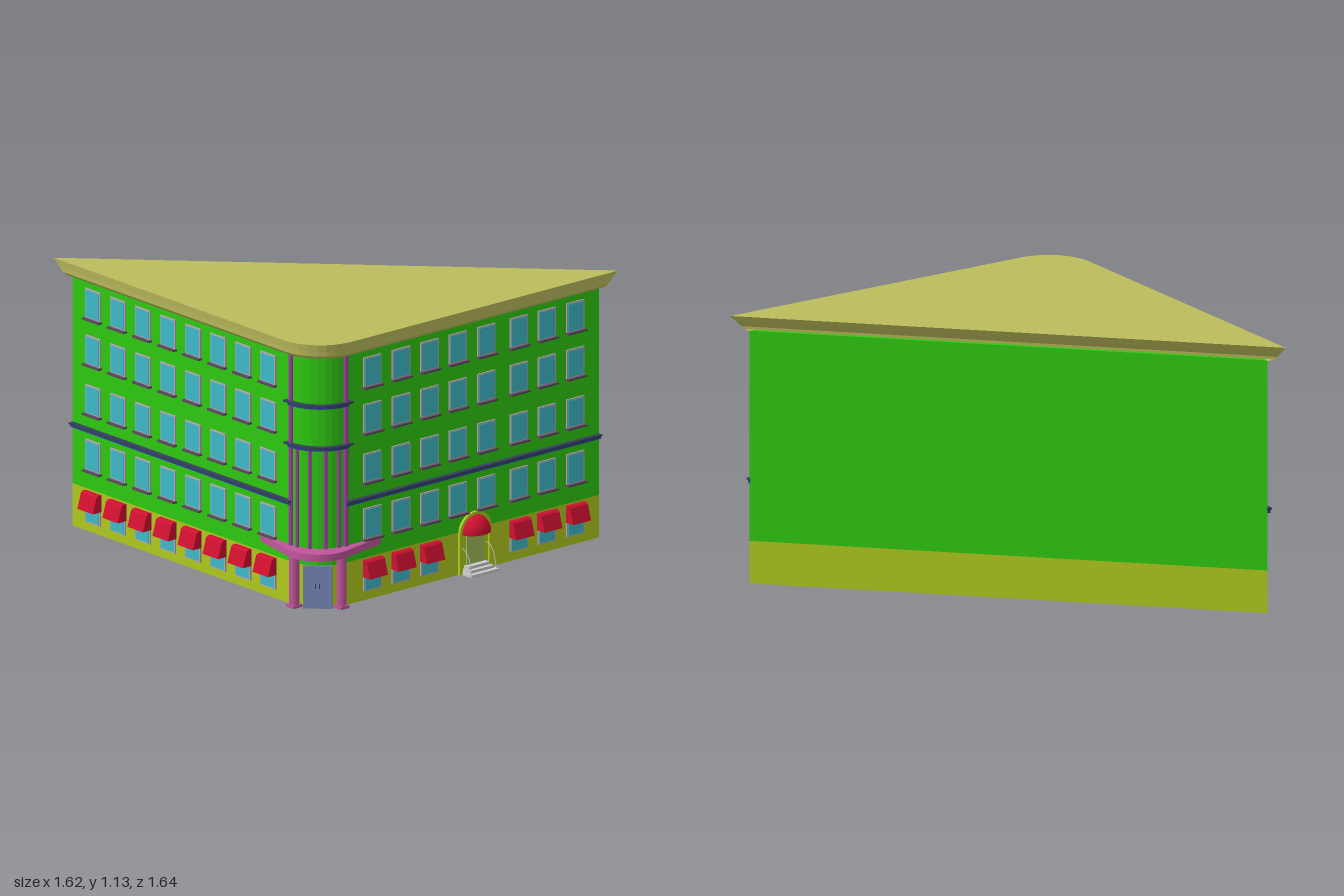
import * as THREE from 'three';

const mat = (color, extra = {}) => new THREE.MeshStandardMaterial({ color, ...extra });
const M = {
  wall: mat(0x2ec811), base: mat(0xb0c81e), roof: mat(0xbcbd5c, { flatShading: true, side: THREE.DoubleSide }),
  glass: mat(0x3fb8c8), frame: mat(0xb3a9b0), sill: mat(0x5a4a5e), awning: mat(0xd01030, { side: THREE.DoubleSide }),
  blue: mat(0x2c3f92), purple: mat(0x9c3fa0), pink: mat(0xc0559c), corner: mat(0x7385b5),
  door: mat(0x9dbb58), stone: mat(0xbcbcc0), rail: mat(0xeeeeee), dark: mat(0x33405a),
};
const WX = -0.76, WZ = 0.93, LEN = 1.505, R = 0.15; // wall planes, wing length, corner radius
const CX = WX + R, CZ = WZ - R;                     // centre of the rounded corner

function add(parent, name, geo, material, x = 0, y = 0, z = 0) {
  const m = new THREE.Mesh(geo, material);
  m.name = name;
  m.position.set(x, y, z);
  parent.add(m);
  return m;
}
const box = (p, name, w, h, d, material, x, y, z) =>
  add(p, name, new THREE.BoxGeometry(w, h, d), material, x, y, z);
const pole = (p, name, r, y0, y1, material, x, z) =>
  add(p, name, new THREE.CylinderGeometry(r, r, y1 - y0, 10), material, x, (y0 + y1) / 2, z);

// Triangular plan with one rounded corner, as (x, -z); d pushes the walls out, tip the sharp ends
function plan(d = 0, tip = 0) {
  const pts = [[WX + LEN + tip, -(WZ + d)], [WX - d, -(WZ - LEN - tip)]];
  for (let i = 0; i <= 8; i++) {
    const a = Math.PI + (i / 8) * Math.PI / 2;
    pts.push([CX + (R + d) * Math.cos(a), -CZ + (R + d) * Math.sin(a)]);
  }
  return pts.map(([x, y]) => new THREE.Vector2(x, y));
}

// Plan shape extruded upwards between two heights
function slab(shape, y0, y1) {
  const g = new THREE.ExtrudeGeometry(shape, { depth: y1 - y0, bevelEnabled: false, curveSegments: 16 });
  return g.rotateX(-Math.PI / 2).translate(0, y0, 0);
}

// Strip following the rounded corner, with short straight returns on both walls
function cornerStrip(inner, outer, ret) {
  const s = new THREE.Shape();
  s.moveTo(WX + R - inner, -CZ + ret);
  s.moveTo(CX - outer, -CZ + ret);
  s.lineTo(CX - outer, -CZ);
  s.absarc(CX, -CZ, outer, Math.PI, Math.PI * 1.5, false);
  s.lineTo(CX + ret, -CZ - outer);
  s.lineTo(CX + ret, -CZ - inner);
  s.lineTo(CX, -CZ - inner);
  s.absarc(CX, -CZ, inner, Math.PI * 1.5, Math.PI, true);
  s.lineTo(CX - inner, -CZ + ret);
  return s;
}

// Cornice lofted through outlines at rising heights, closed by the flat roof
function cornice(group) {
  const rings = [[0, 1.065], [0.028, 1.068], [0.038, 1.08], [0.04, 1.1], [0.045, 1.13]]
    .map(([d, y]) => plan(d, y - 1.065).map(p => [p.x, y, -p.y]));
  const n = rings[0].length, idx = [];
  for (let r = 0; r < rings.length - 1; r++)
    for (let i = 0; i < n; i++) {
      const a = r * n + i, b = r * n + (i + 1) % n;
      idx.push(a, b, b + n, a, b + n, a + n);
    }
  const g = new THREE.BufferGeometry();
  g.setAttribute('position', new THREE.Float32BufferAttribute(rings.flat(2), 3));
  g.setIndex(idx);
  g.computeVertexNormals();
  add(group, 'cornice', g, M.roof);
  const top = new THREE.ShapeGeometry(new THREE.Shape(plan(0.045, 0.065)));
  add(group, 'roof', top.rotateX(-Math.PI / 2), M.roof, 0, 1.13, 0);
}

// Framed window with a sill, on a wall at local z = 0
function windowUnit(p, x, y0, y1, sill = true) {
  const h = y1 - y0, y = (y0 + y1) / 2;
  box(p, 'windowFrame', 0.094, h, 0.008, M.frame, x, y, 0.002);
  box(p, 'windowGlass', 0.082, h - 0.012, 0.008, M.glass, x, y, 0.004);
  if (sill) box(p, 'windowSill', 0.102, 0.008, 0.022, M.sill, x, y0 - 0.003, 0.008);
}

function awning(p, x) {
  const s = new THREE.Shape([[0, 0.1], [0.045, 0.1], [0.026, 0.165], [0.018, 0.172], [0, 0.172]]
    .map(a => new THREE.Vector2(...a)));
  const g = new THREE.ExtrudeGeometry(s, { depth: 0.096, bevelEnabled: false });
  add(p, 'awning', g.rotateY(-Math.PI / 2), M.awning, x + 0.048, 0, 0);
}

// One street front: four window rows, shaded ground windows and the belt course
function facade(group, name, columns, groundColumns, beltCentre) {
  const f = new THREE.Group();
  f.name = name;
  group.add(f);
  for (const x of columns)
    for (const [a, b] of [[0.26, 0.39], [0.5, 0.622], [0.71, 0.832], [0.905, 1.03]]) windowUnit(f, x, a, b);
  for (const x of groundColumns) {
    windowUnit(f, x, 0.038, 0.165, false);
    awning(f, x);
  }
  const w = LEN - R;
  box(f, 'beltCourse', w, 0.008, 0.024, M.dark, beltCentre, 0.438, 0.01);
  box(f, 'beltMoulding', w, 0.012, 0.014, M.blue, beltCentre, 0.428, 0.006);
  return f;
}

// Arched doorway with a domed hood, steps and handrails
function entrance(parent, x) {
  const e = new THREE.Group();
  e.name = 'frontEntrance';
  e.position.x = x;
  parent.add(e);
  const arch = (r) => {
    const s = new THREE.Shape();
    s.moveTo(-r, 0);
    s.lineTo(r, 0);
    s.lineTo(r, 0.17);
    s.absarc(0, 0.17, r, 0, Math.PI, false);
    s.lineTo(-r, 0);
    return s;
  };
  const ring = arch(0.085);
  ring.holes.push(arch(0.072));
  const opt = { bevelEnabled: false, curveSegments: 16 };
  add(e, 'doorSurround', new THREE.ExtrudeGeometry(ring, { ...opt, depth: 0.012 }), M.base);
  add(e, 'doorPanelWall', new THREE.ExtrudeGeometry(arch(0.073), { ...opt, depth: 0.003 }), M.base);
  box(e, 'frontDoor', 0.09, 0.14, 0.008, M.door, 0, 0.1, 0.004);
  const dome = add(e, 'doorHood', new THREE.SphereGeometry(0.073, 20, 8, 0, Math.PI, 0, Math.PI / 2), M.awning, 0, 0.168, 0);
  dome.scale.z = 0.88;
  [[0.146, 0.07], [0.124, 0.05], [0.11, 0.032]].forEach(([w, d], i) =>
    box(e, 'step', w, 0.012, d, M.stone, 0, 0.006 + i * 0.012, d / 2));
  for (const s of [-1, 1]) {
    const c = new THREE.CatmullRomCurve3([[0, 0.11], [0.02, 0.105], [0.045, 0.075], [0.062, 0.012]]
      .map(([z, y]) => new THREE.Vector3(s * 0.066, y, z)));
    add(e, 'handrail', new THREE.TubeGeometry(c, 10, 0.002, 5), M.rail);
  }
}

// Corner porch: bulging canopy, pillars, double door, shafts and ledges
function cornerPorch(group) {
  const g = new THREE.Group();
  g.name = 'cornerPorch';
  group.add(g);
  const s = new THREE.Shape(), px = -0.67, pz = 0.84, pr = 0.143;
  s.moveTo(WX + 0.02, -(0.17 + 0.42));
  s.lineTo(WX - 0.005, -(0.17 + 0.42));
  s.absarc(px, -pz, pr, Math.PI * 0.95, Math.PI * 1.55, false);
  s.lineTo(-0.42, -WZ - 0.005);
  s.lineTo(-0.42, -WZ + 0.02);
  s.lineTo(CX, -CZ);
  add(g, 'canopy', slab(s, 0.222, 0.252), M.pink);
  for (const [x, z] of [[-0.64, 0.945], [-0.775, 0.81]]) {
    pole(g, 'pillar', 0.021, 0, 0.222, M.pink, x, z);
    box(g, 'pillarFoot', 0.046, 0.012, 0.046, M.pink, x, 0.006, z);
  }
  const door = new THREE.Group();
  door.name = 'cornerDoor';
  door.position.set(CX - R * Math.SQRT1_2, 0, CZ + R * Math.SQRT1_2);
  door.rotation.y = -Math.PI / 4;
  g.add(door);
  for (const k of [-1, 1]) {
    box(door, 'doorLeaf', 0.058, 0.18, 0.03, M.corner, k * 0.03, 0.09, -0.008);
    box(door, 'doorHandle', 0.004, 0.02, 0.006, M.dark, k * 0.008, 0.095, 0.009);
  }
  // Slim shafts round the corner, taller ones at the two wall joints
  [12, 33, 57, 78].forEach(deg => {
    const a = deg * Math.PI / 180;
    pole(g, 'shaft', 0.008, 0.25, 0.68, M.purple, CX - (R + 0.004) * Math.cos(a), CZ + (R + 0.004) * Math.sin(a));
  });
  pole(g, 'tallShaft', 0.01, 0.25, 1.07, M.purple, CX + 0.005, WZ + 0.002);
  pole(g, 'tallShaft', 0.01, 0.25, 1.07, M.purple, WX - 0.002, CZ - 0.005);
  for (const y of [0.68, 0.858]) {
    add(g, 'cornerLedge', slab(cornerStrip(R - 0.01, R + 0.022, 0.03), y, y + 0.007), M.dark);
    add(g, 'ledgeMoulding', slab(cornerStrip(R - 0.01, R + 0.012, 0.015), y - 0.012, y), M.blue);
  }
}

export function createModel() {
  const group = new THREE.Group();
  group.name = 'cornerBuilding';
  const footprint = new THREE.Shape(plan());
  add(group, 'groundFloorWalls', slab(footprint, 0, 0.18), M.base);
  add(group, 'upperWalls', slab(footprint, 0.18, 1.068), M.wall);
  cornice(group);

  const columns = [-0.465, -0.312, -0.16, -0.01, 0.143, 0.316, 0.465, 0.617];
  const front = facade(group, 'frontFacade', columns, columns.filter((_, i) => i !== 3 && i !== 4), (CX + WX + LEN) / 2);
  front.position.z = WZ;
  entrance(front, 0.08);

  // The side front is evenly spaced and turned a quarter
  const side = Array.from({ length: 8 }, (_, i) => 0.635 - i * 0.1545);
  const sideFacade = facade(group, 'sideFacade', side, side, (CZ + WZ - LEN) / 2);
  sideFacade.position.x = WX;
  sideFacade.rotation.y = -Math.PI / 2;

  cornerPorch(group);
  return group;
}
